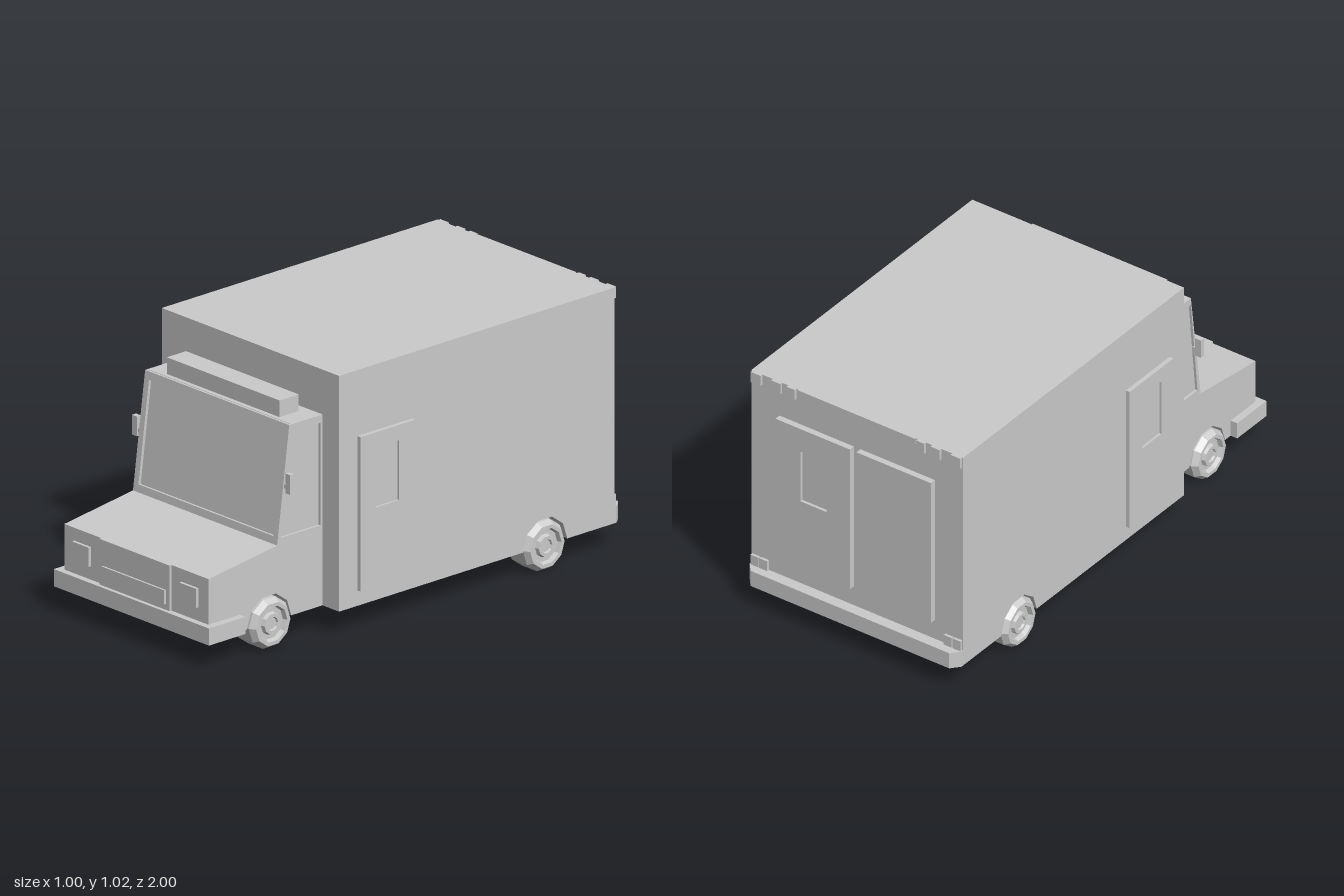
import * as THREE from 'three';

const material = new THREE.MeshStandardMaterial({ color: 0xcccccc, flatShading: true });

export function createModel() {
  const model = new THREE.Group();

  const add = (name, geometry) => {
    const mesh = new THREE.Mesh(geometry, material);
    mesh.name = name;
    model.add(mesh);
    return mesh;
  };

  // Box given by its limits on each axis
  const box = (name, x0, x1, y0, y1, z0, z1) => {
    const g = new THREE.BoxGeometry(Math.abs(x1 - x0), y1 - y0, z1 - z0);
    return add(name, g.translate((x0 + x1) / 2, (y0 + y1) / 2, (z0 + z1) / 2));
  };

  const makeShape = (points, hole) => {
    const shape = new THREE.Shape(points.map(p => new THREE.Vector2(...p)));
    if (hole) shape.holes.push(new THREE.Path(hole.map(p => new THREE.Vector2(...p))));
    return shape;
  };
  const rect = (a0, a1, b0, b1) => [[a0, b0], [a1, b0], [a1, b1], [a0, b1]];

  // Side profile of [z, y] points, extruded across x
  const acrossX = (name, points, xa, xb, hole) => {
    const x0 = Math.min(xa, xb), x1 = Math.max(xa, xb);
    const g = new THREE.ExtrudeGeometry(makeShape(points, hole), { depth: x1 - x0, bevelEnabled: false });
    return add(name, g.rotateY(-Math.PI / 2).translate(x1, 0, 0));
  };

  // Faceted wheel arch cut into the bottom edge
  const floor = 0.1;
  const arch = (zc, r = 0.11) => Array.from({ length: 6 }, (_, i) => {
    const a = Math.PI * (1 - i / 5);
    return [zc + r * Math.cos(a), floor + r * Math.sin(a)];
  });
  const frontAxle = 0.675, rearAxle = -0.61;

  // Cargo box: solid centre and notched outer sides
  const boxTop = [[0.41, floor], [0.41, 1.02], [-0.955, 1.02]];
  acrossX('cargoBoxCentre', [[-0.955, floor], ...boxTop], -0.345, 0.345);
  for (const s of [-1, 1])
    acrossX('cargoBoxSide', [[-0.955, floor], ...arch(rearAxle), ...boxTop], s * 0.345, s * 0.48);

  // Cab: core with set-back windscreen plane, outer skins with window openings
  const cabTop = inset => [[0.975, floor], [0.975, 0.345], [0.635, 0.39],
    [0.635 - inset, 0.39], [0.575 - inset, 0.845], [0.41, 0.845]];
  acrossX('cabCentre', [[0.41, floor], ...cabTop(0.012)], -0.27, 0.27);
  const sideWindow = [[0.42, 0.415], [0.615, 0.415], [0.575, 0.815], [0.42, 0.815]];
  const skinTop = cabTop(0).filter((_, i) => i !== 3);
  for (const s of [-1, 1]) {
    acrossX('cabSide', [[0.41, floor], ...arch(frontAxle), ...cabTop(0.012)], s * 0.27, s * 0.38);
    acrossX('cabDoorSkin', [[0.41, floor], ...arch(frontAxle), ...skinTop], s * 0.38, s * 0.39, sideWindow);
  }

  // Windscreen frame, leaning back with the cab
  const frame = add('windscreenFrame', new THREE.ExtrudeGeometry(
    makeShape(rect(-0.38, 0.38, 0, 0.459), rect(-0.365, 0.365, 0.03, 0.428)),
    { depth: 0.012, bevelEnabled: false }).translate(0, 0, -0.012));
  frame.position.set(0, 0.39, 0.635);
  frame.rotation.x = -Math.atan2(0.06, 0.455);

  // Nose, roof sign and front bumper
  box('nosePanel', -0.19, 0.19, 0.165, 0.345, 0.97, 0.985);
  box('grille', -0.17, 0.17, 0.19, 0.245, 0.98, 0.993);
  box('roofSign', -0.305, 0.305, 0.845, 0.91, 0.45, 0.545);
  box('frontBumper', -0.42, 0.42, floor, 0.167, 0.82, 1);

  // Rear bumper with cut corners
  const bumper = makeShape([[-0.48, 0.955], [0.48, 0.955], [0.48, 0.965], [0.45, 1], [-0.45, 1], [-0.48, 0.965]]);
  add('rearBumper', new THREE.ExtrudeGeometry(bumper, { depth: 0.067, bevelEnabled: false })
    .rotateX(-Math.PI / 2).translate(0, floor, 0));
  box('rearTopStrip', -0.265, 0.265, 0.995, 1.02, -0.96, -0.95);

  // Wheel profile: tyre, rim and raised hub
  const wheelProfile = [[0, -0.065], [0.085, -0.065], [0.1, -0.04], [0.1, 0.04], [0.085, 0.063],
    [0.07, 0.063], [0.064, 0.045], [0.045, 0.045], [0.04, 0.06], [0.027, 0.06], [0.024, 0.052], [0, 0.052]];
  const wheelGeometry = new THREE.LatheGeometry(wheelProfile.map(p => new THREE.Vector2(...p)), 10);

  for (const s of [-1, 1]) {
    box('headlight', s * 0.245, s * 0.335, 0.22, 0.295, 0.97, 0.987);

    // Wing mirror on a short arm
    box('mirrorArm', s * 0.385, s * 0.41, 0.605, 0.62, 0.59, 0.6);
    box('mirror', s * 0.402, s * 0.428, 0.59, 0.667, 0.585, 0.605);

    // Side door with a sunken pane
    acrossX('sideDoor', rect(0.05, 0.32, 0.16, 0.763), s * 0.48, s * 0.498, rect(0.13, 0.245, 0.47, 0.703));
    box('sideDoorPane', s * 0.475, s * 0.489, 0.465, 0.708, 0.125, 0.25);

    // Rear door with a sunken pane
    const doorShape = makeShape(rect(s * 0.015, s * 0.352, 0.25, 0.87), rect(s * 0.12, s * 0.238, 0.55, 0.77));
    add('rearDoor', new THREE.ExtrudeGeometry(doorShape, { depth: 0.025, bevelEnabled: false })
      .translate(0, 0, -0.98));
    box('rearDoorPane', s * 0.115, s * 0.243, 0.545, 0.775, -0.968, -0.95);

    // Upper marker lights and tail lights
    for (const [a, b] of [[0.275, 0.312], [0.34, 0.382], [0.43, 0.475]])
      box('markerLight', s * a, s * b, 0.975, 1.02, -0.966, -0.95);
    for (const [a, b] of [[0.4, 0.436], [0.44, 0.476]])
      box('tailLight', s * a, s * b, 0.165, 0.21, -0.966, -0.95);

    // Wheels
    for (const [name, x, z] of [['frontWheel', 0.35, frontAxle], ['rearWheel', 0.43, rearAxle]]) {
      const wheel = add(name, wheelGeometry);
      wheel.position.set(s * x, 0.1, z);
      wheel.rotation.z = -s * Math.PI / 2;
    }
  }

  return model;
}
